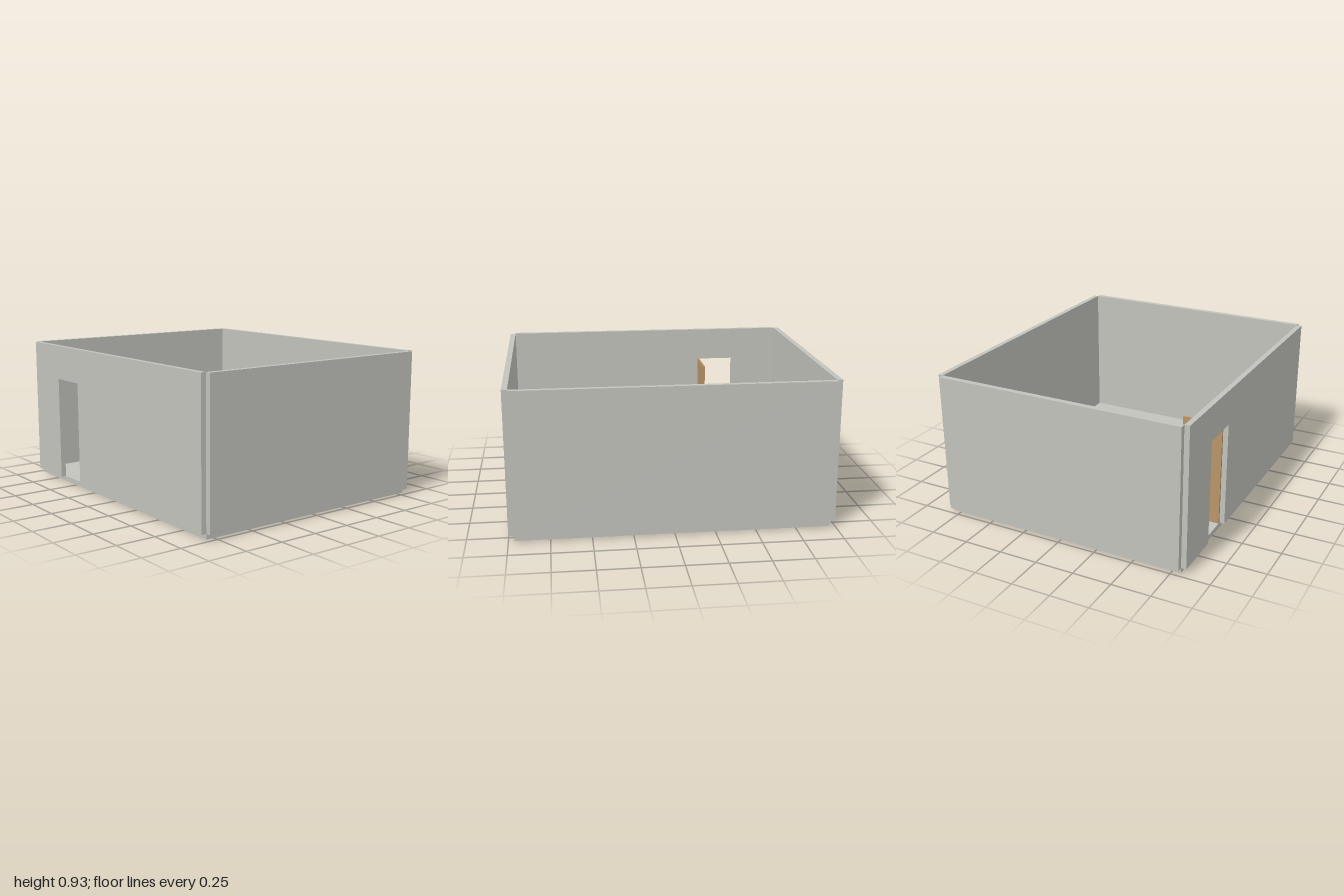
import * as THREE from 'three';

const WALL = new THREE.MeshStandardMaterial({ color: 0xc3c3bd });
WALL.name = 'plaster';
const WOOD = new THREE.MeshStandardMaterial({ color: 0xb8956a });
WOOD.name = 'wood';
const TEAL = new THREE.MeshStandardMaterial({ color: 0x4f979c });
TEAL.name = 'teal upholstery';

// Room dimensions
const HX = 0.965, HZ = 0.803, T = 0.033, FLOOR = 0.033, TOP = 0.933;

// Box given by its minimum and maximum corners
function box(name, mat, [x0, y0, z0], [x1, y1, z1]) {
  const mesh = new THREE.Mesh(new THREE.BoxGeometry(x1 - x0, y1 - y0, z1 - z0), mat);
  mesh.position.set((x0 + x1) / 2, (y0 + y1) / 2, (z0 + z1) / 2);
  mesh.name = name;
  return mesh;
}

// Four square legs inside a rectangle
function addLegs(group, name, mat, hx, z0, z1, y1, w) {
  for (const x of [-hx, hx - w])
    for (const z of [z0, z1 - w])
      group.add(box(name, mat, [x, FLOOR, z], [x + w, y1, z + w]));
}

export function createModel() {
  const room = new THREE.Group();
  room.name = 'room';

  // Floor, back wall and side walls
  room.add(box('floor', WALL, [-HX, 0, -HZ], [HX, FLOOR, HZ]));
  room.add(box('backWall', WALL, [-HX, FLOOR, -HZ - T], [HX, TOP, -HZ]));
  room.add(box('leftWall', WALL, [HX, FLOOR, -HZ], [1, TOP, HZ]));
  room.add(box('rightWall', WALL, [-1, FLOOR, -HZ], [-HX, TOP, HZ]));

  // Front wall with a doorway notch
  const d0 = -0.645, d1 = -0.387, doorTop = 0.71;
  const outline = [
    [-HX, FLOOR], [d0, FLOOR], [d0, doorTop], [d1, doorTop],
    [d1, FLOOR], [HX, FLOOR], [HX, TOP], [-HX, TOP],
  ].map(([x, y]) => new THREE.Vector2(x, y));
  const front = new THREE.Mesh(
    new THREE.ExtrudeGeometry(new THREE.Shape(outline), { depth: T, bevelEnabled: false }), WALL);
  front.position.z = HZ;
  front.name = 'frontWall';
  room.add(front);

  // Door leaf standing open into the room
  room.add(box('door', WOOD, [-0.4, FLOOR, 0.545], [d1, doorTop, HZ]));

  // Desk
  const desk = new THREE.Group();
  desk.name = 'desk';
  desk.add(box('deskTop', WOOD, [-0.161, 0.26, 0.06], [0.161, 0.275, 0.253]));
  addLegs(desk, 'deskLeg', WOOD, 0.155, 0.066, 0.247, 0.26, 0.016);
  room.add(desk);

  // Chair with its back away from the desk
  const chair = new THREE.Group();
  chair.name = 'chair';
  chair.add(box('seat', TEAL, [-0.08, 0.163, -0.115], [0.08, 0.179, 0.045]));
  chair.add(box('backrest', TEAL, [-0.08, 0.179, -0.115], [0.08, 0.325, -0.103]));
  addLegs(chair, 'chairLeg', TEAL, 0.077, -0.112, 0.042, 0.163, 0.013);
  room.add(chair);

  return room;
}
